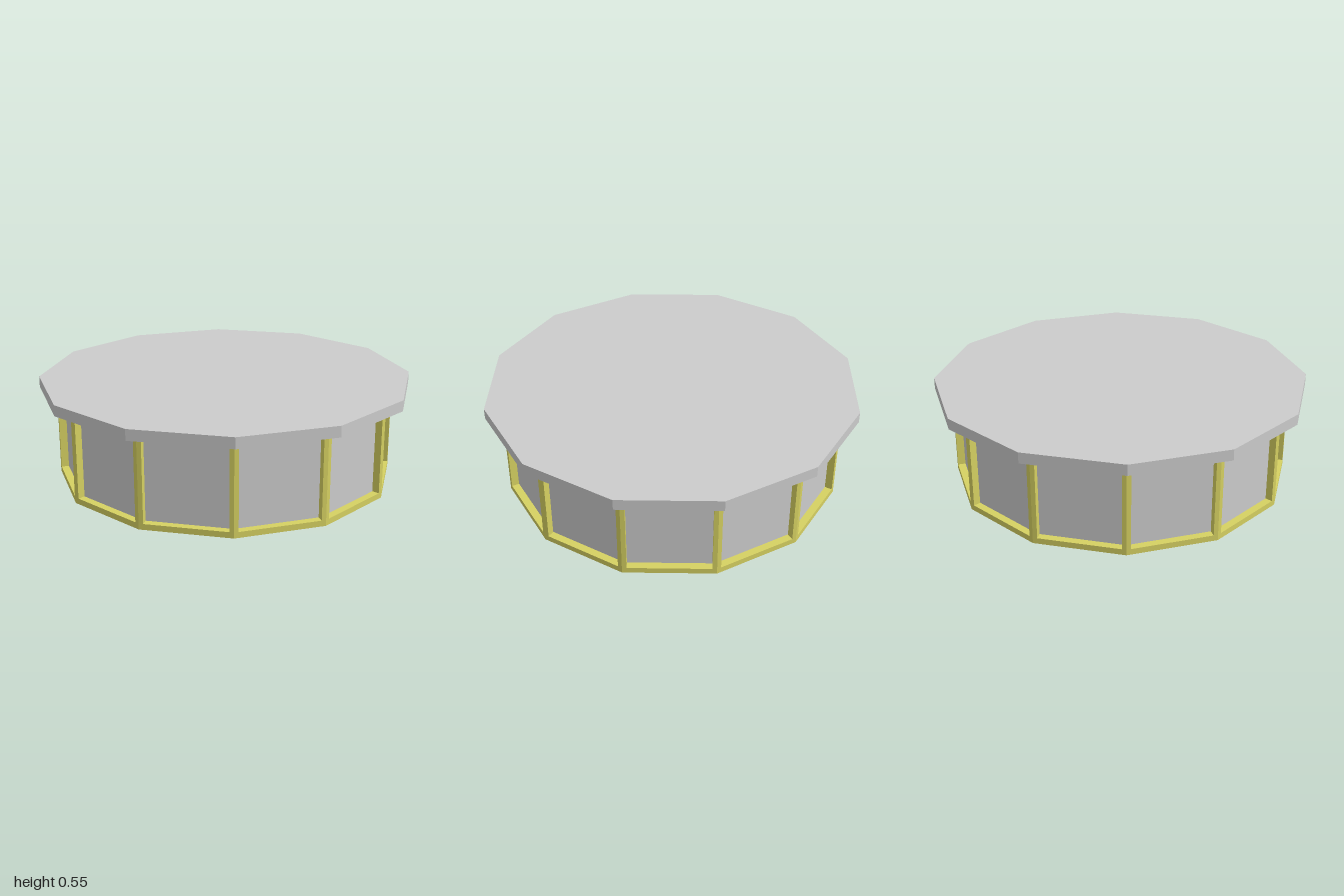
import * as THREE from 'three';

const SIDES = 12;
const WALL_R = 0.91, WALL_TOP = 0.487, ROOF_TOP = 0.545;
const DEPTH = 0.04, POST = 0.023, RAIL = 0.032;
const STEP = (Math.PI * 2) / SIDES;

export function createModel() {
  const grey = new THREE.MeshStandardMaterial({ color: 0xcccccc, flatShading: true });
  grey.name = 'light grey';
  const yellow = new THREE.MeshStandardMaterial({ color: 0xd6d162, flatShading: true });
  yellow.name = 'yellow frame';

  const model = new THREE.Group();
  model.name = 'twelveSidedPavilion';
  const add = (name, geometry, material, parent = model) => {
    const mesh = new THREE.Mesh(geometry, material);
    mesh.name = name;
    parent.add(mesh);
    return mesh;
  };

  // Overhanging roof slab
  const roof = add('roof', new THREE.CylinderGeometry(1, 1, ROOF_TOP - WALL_TOP, SIDES), grey);
  roof.position.y = (ROOF_TOP + WALL_TOP) / 2;

  // Recessed wall panels as one inner prism
  const apothem = WALL_R * Math.cos(STEP / 2);
  const innerR = (apothem - DEPTH) / Math.cos(STEP / 2);
  const panels = add('wallPanels',
    new THREE.CylinderGeometry(innerR, innerR, WALL_TOP - 0.002, SIDES, 1, true), grey);
  panels.position.y = WALL_TOP / 2;

  // Floor underside, reaching the outer edge of the frames
  const floor = add('floor', new THREE.CircleGeometry(WALL_R, SIDES), grey);
  floor.rotation.x = Math.PI / 2;

  // One rectangular frame, repeated around the wall
  const half = WALL_R * Math.sin(STEP / 2);
  const rectangle = (path, x, y0, y1) => path.setFromPoints([
    new THREE.Vector2(-x, y0), new THREE.Vector2(x, y0),
    new THREE.Vector2(x, y1), new THREE.Vector2(-x, y1), new THREE.Vector2(-x, y0),
  ]);
  const outline = rectangle(new THREE.Shape(), half, 0.001, WALL_TOP);
  outline.holes.push(rectangle(new THREE.Path(), half - POST, RAIL, WALL_TOP - RAIL));
  const frameGeometry = new THREE.ExtrudeGeometry(outline, { depth: DEPTH, bevelEnabled: false });
  frameGeometry.translate(0, 0, apothem - DEPTH);

  const frames = new THREE.Group();
  frames.name = 'wallFrames';
  model.add(frames);
  for (let i = 0; i < SIDES; i++) {
    add(`wallFrame${i + 1}`, frameGeometry, yellow, frames).rotation.y = (i + 0.5) * STEP;
  }
  return model;
}
